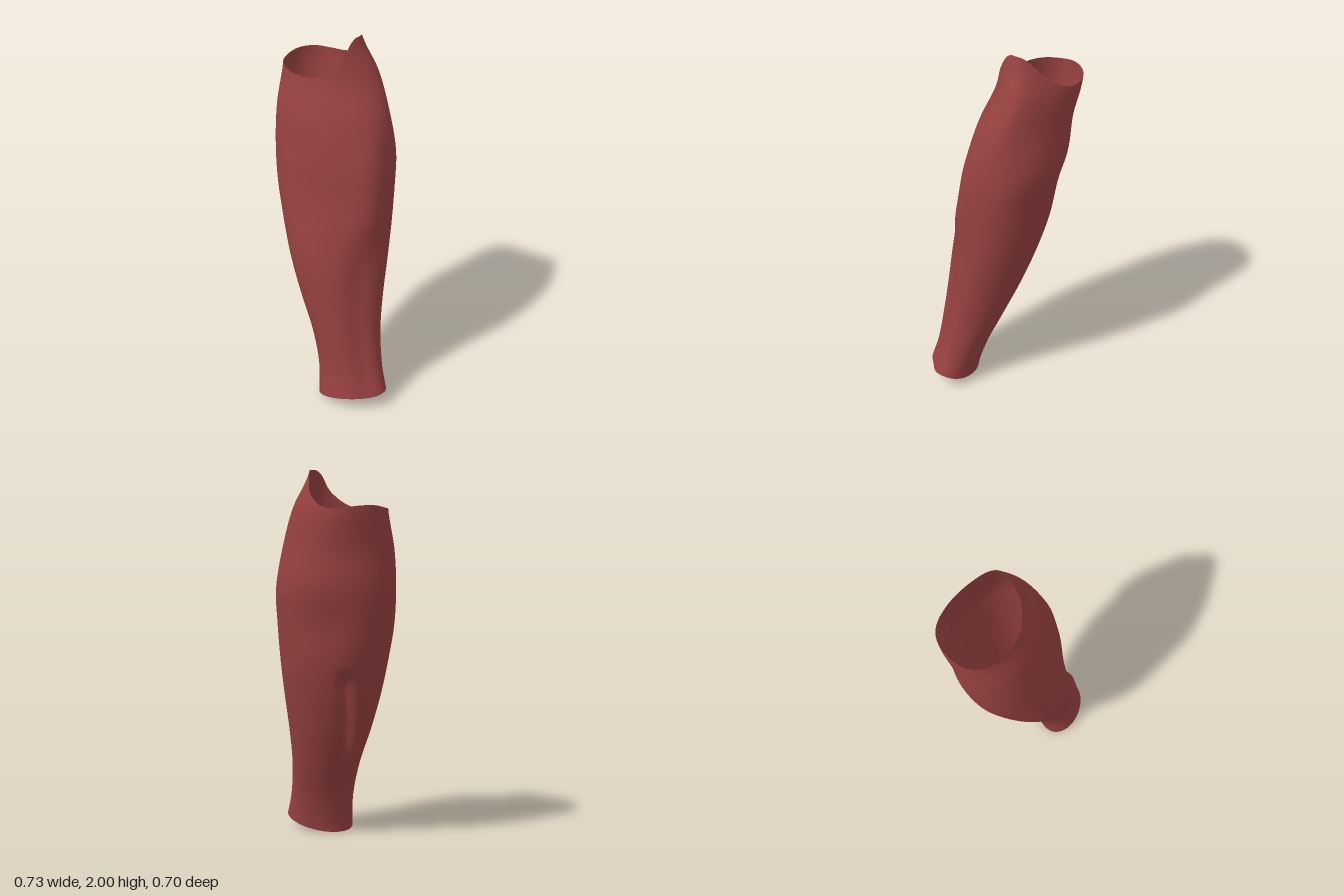
import * as THREE from 'three';

const { smoothstep, degToRad, mapLinear, lerp, clamp } = THREE.MathUtils;

// Limits of the sleeve every 0.2 units of height: [xMin, xMax, zMin, zMax]
const SECTIONS = [
  [-0.01, 0.385, 0.10, 0.372],
  [-0.03, 0.328, 0.05, 0.327],
  [-0.085, 0.294, -0.03, 0.307],
  [-0.165, 0.287, -0.11, 0.292],
  [-0.235, 0.292, -0.18, 0.274],
  [-0.295, 0.295, -0.235, 0.238],
  [-0.345, 0.295, -0.27, 0.195],
  [-0.367, 0.288, -0.31, 0.165],
  [-0.367, 0.257, -0.318, 0.12],
  [-0.352, 0.185, -0.348, 0.045],
  [-0.34, 0.09, -0.33, 0.038],
];

// Height of the upper rim every 30 degrees, from +x towards +z
const RIM = [1.99, 1.99, 1.885, 1.81, 1.797, 1.805, 1.81, 1.825, 1.822, 1.81, 1.82, 1.885];

const COLUMNS = 160, ROWS = 100;

// Smooth cubic through four neighbouring values
function cubic(a, b, c, d, t) {
  return b + 0.5 * t * (c - a + t * (2 * a - 5 * b + 4 * c - d + t * (3 * (b - c) + d - a)));
}

function sectionAt(y) {
  const u = clamp(y / 0.2, 0, 10);
  const i = Math.min(Math.floor(u), 9);
  const row = (k) => SECTIONS[clamp(k, 0, 10)];
  return [0, 1, 2, 3].map((k) => cubic(row(i - 1)[k], row(i)[k], row(i + 1)[k], row(i + 2)[k], u - i));
}

function rimAt(angle) {
  const u = (angle / (2 * Math.PI)) * 12;
  const i = Math.floor(u);
  const h = (k) => RIM[(k + 12) % 12];
  return Math.min(2, cubic(h(i - 1), h(i), h(i + 1), h(i + 2), u - i));
}

function bell(value, centre, width) {
  return Math.exp(-(((value - centre) / width) ** 2));
}

// Swellings and hollows that turn the plain ovals into a muscled shape
function radialScale(angle, y) {
  const around = (degrees, width) => bell(angle, degToRad(degrees), width);
  const leftFront = 0.14 * bell(y, 1.25, 0.32) - 0.13 * (1 - smoothstep(y, 0.75, 1.1));
  const rightFront = 0.05 * bell(y, 0.85, 0.35);
  const dimple = 0.04 * bell(y, 1.22, 0.12);
  const fold = 0.25 * smoothstep(y, 0.4, 0.62) * (1 - smoothstep(y, 0.87, 0.98));
  return 1 + leftFront * around(47, 0.42) + rightFront * around(132, 0.42)
    - dimple * around(258, 0.3) - fold * around(mapLinear(y, 0.5, 0.9, 214, 236), 0.12);
}

function sleeveGeometry() {
  const positions = [], index = [];
  for (let r = 0; r <= ROWS; r++) {
    for (let c = 0; c < COLUMNS; c++) {
      const angle = (c / COLUMNS) * 2 * Math.PI;
      const cos = Math.cos(angle), sin = Math.sin(angle);
      // Each column runs from the slanted lower rim to the wavy upper rim
      const cuff = 0.049 + 0.037 * cos + 0.029 * sin - 0.018 * bell(angle, 0.75, 0.5);
      const y = lerp(cuff, rimAt(angle), r / ROWS);
      const [x0, x1, z0, z1] = sectionAt(y);
      const s = radialScale(angle, y) / 2;
      // Towards the top the back flattens, leaving a rounded crest on the +x side
      const backness = (Math.sqrt(sin * sin + 0.04) - sin) / 2;
      const flatten = 0.17 * smoothstep(y, 1.3, 1.87) * backness * (1 + cos) / 2;
      positions.push((x0 + x1) / 2 + (x1 - x0) * s * cos - flatten, y, (z0 + z1) / 2 + (z1 - z0) * s * sin);
      if (r < ROWS) {
        const a = r * COLUMNS + c, b = r * COLUMNS + ((c + 1) % COLUMNS);
        index.push(a, a + COLUMNS, b, b, a + COLUMNS, b + COLUMNS);
      }
    }
  }
  const geometry = new THREE.BufferGeometry();
  geometry.setAttribute('position', new THREE.Float32BufferAttribute(positions, 3));
  geometry.setIndex(index);
  geometry.computeVertexNormals();
  return geometry;
}

export function createModel() {
  const group = new THREE.Group();
  const material = new THREE.MeshStandardMaterial({ color: 0x964040, side: THREE.DoubleSide });
  // Open tapering sleeve
  const sleeve = new THREE.Mesh(sleeveGeometry(), material);
  sleeve.name = 'forearmSleeve';
  group.add(sleeve);
  return group;
}
